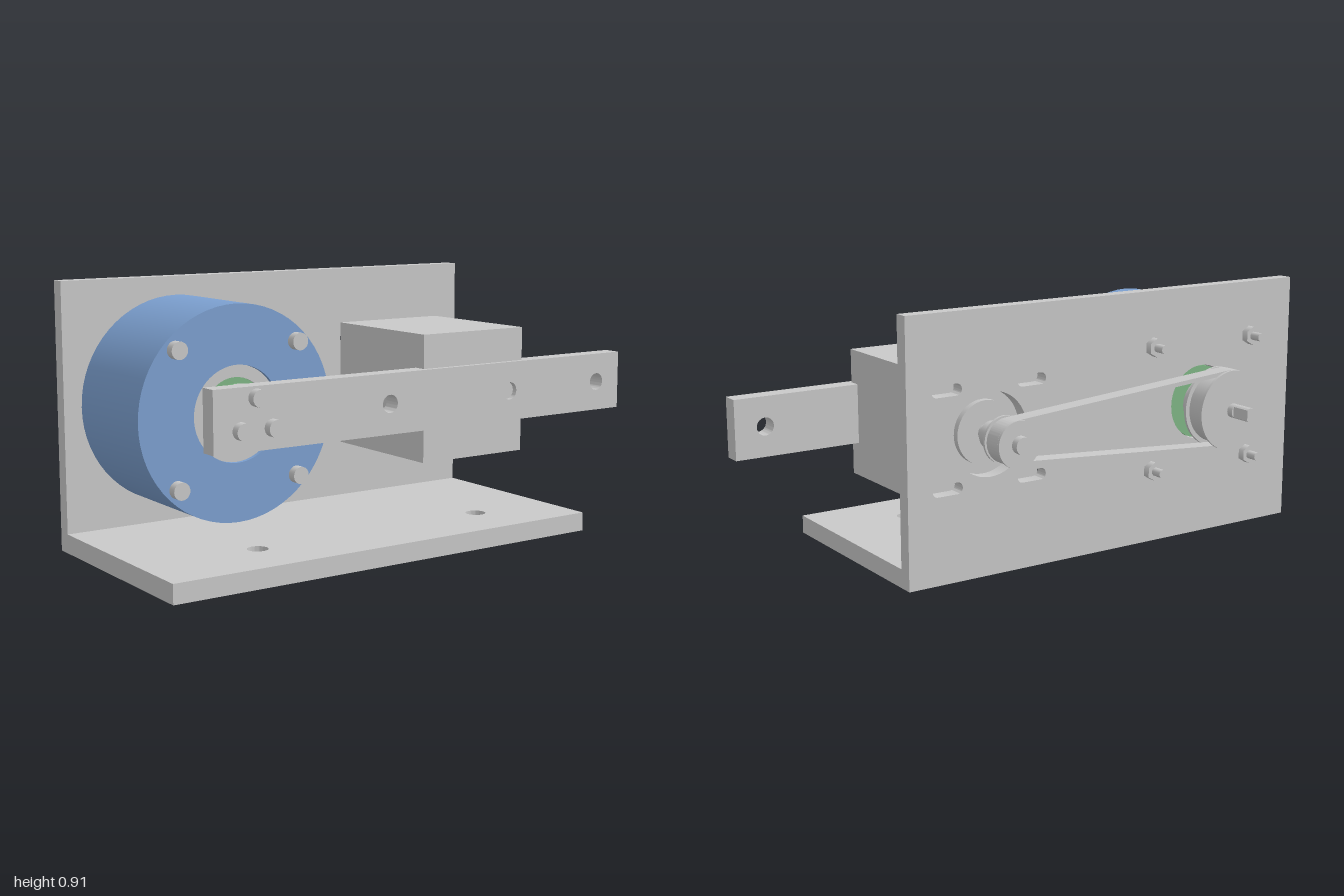
import * as THREE from 'three';
import { toCreasedNormals } from 'three/addons/utils/BufferGeometryUtils.js';

const steel = new THREE.MeshStandardMaterial({ color: 0xc8c8c8 });
steel.name = 'light grey metal';
const blue = new THREE.MeshStandardMaterial({ color: 0x7ca0d0 });
blue.name = 'blue housing';
const green = new THREE.MeshStandardMaterial({ color: 0x7fb585 });
green.name = 'green bearing seal';

const AXIS = 0.487;            // height of both shafts
const SPINDLE = -0.58, MOTOR = 0.32;

function add(parent, name, geometry, material = steel) {
  const mesh = new THREE.Mesh(geometry, material);
  mesh.name = name;
  parent.add(mesh);
  return mesh;
}

// Box given by its limits
function box(x0, x1, y0, y1, z0, z1) {
  return new THREE.BoxGeometry(x1 - x0, y1 - y0, z1 - z0)
    .translate((x0 + x1) / 2, (y0 + y1) / 2, (z0 + z1) / 2);
}

// Cylinder along z
function rod(x, y, r, z0, z1, sides = 40) {
  return new THREE.CylinderGeometry(r, r, z1 - z0, sides)
    .rotateX(Math.PI / 2).translate(x, y, (z0 + z1) / 2);
}

// Flat shape extruded from z0 to z1, smooth on curves and sharp on edges
function slab(shape, z0, z1) {
  const g = new THREE.ExtrudeGeometry(shape, { depth: z1 - z0, bevelEnabled: false, curveSegments: 32 });
  return toCreasedNormals(g.translate(0, 0, z0), 0.6);
}

function rect(x0, x1, y0, y1) {
  return new THREE.Shape().moveTo(x0, y0).lineTo(x1, y0).lineTo(x1, y1).lineTo(x0, y1).closePath();
}

function circle(x, y, r, Type = THREE.Path) {
  return new Type().absarc(x, y, r, 0, Math.PI * 2, false);
}

function ring(x, y, outer, inner) {
  const s = circle(x, y, outer, THREE.Shape);
  s.holes.push(circle(x, y, inner));
  return s;
}

// Horizontal slot with round ends
function slot(x, y, half, r) {
  return new THREE.Path()
    .absarc(x + half, y, r, -Math.PI / 2, Math.PI / 2, false)
    .absarc(x - half, y, r, Math.PI / 2, Math.PI * 1.5, false)
    .closePath();
}

// Outline of a belt around the two pulleys
function beltLoop(r1, r2, Type) {
  const a = Math.acos((r1 - r2) / (MOTOR - SPINDLE));
  return new Type()
    .absarc(SPINDLE, AXIS, r1, a, Math.PI * 2 - a, false)
    .absarc(MOTOR, AXIS, r2, -a, a, false)
    .closePath();
}

function pulley(name, x, flange, core, hub) {
  const g = new THREE.Group();
  g.name = name;
  add(g, 'pulleyHub', rod(x, AXIS, hub, -0.34, -0.264));
  add(g, 'pulleyCore', rod(x, AXIS, core, -0.424, -0.348));
  add(g, 'innerFlange', rod(x, AXIS, flange, -0.349, -0.339, 56));
  add(g, 'outerFlange', rod(x, AXIS, flange, -0.433, -0.423, 56));
  return g;
}

export function createModel() {
  const model = new THREE.Group();
  model.name = 'beltDriveRig';
  const corners = [[-1, -1], [1, -1], [-1, 1], [1, 1]];

  // Upright plate with shaft openings, bolt holes and motor slots
  const plate = rect(-1, 0.635, 0, 0.908);
  plate.holes.push(circle(SPINDLE, AXIS, 0.135), circle(MOTOR, AXIS, 0.145));
  for (const [i, j] of corners) {
    plate.holes.push(slot(MOTOR + i * 0.165, AXIS + j * 0.165, 0.037, 0.02));
    plate.holes.push(circle(SPINDLE + i * 0.223, AXIS + j * 0.223, 0.016));
  }
  add(model, 'backPlate', slab(plate, -0.258, -0.207));

  // Base plate, drawn flat and laid down
  const base = rect(-1, 0.635, -0.53, 0.207);
  base.holes.push(circle(SPINDLE, -0.317, 0.035), circle(MOTOR, -0.317, 0.035));
  add(model, 'basePlate', slab(base, 0, 0.065).rotateX(-Math.PI / 2));

  // Bearing housing
  add(model, 'bearingHousing', slab(ring(SPINDLE, AXIS, 0.357, 0.16), -0.207, 0.2), blue);
  add(model, 'bearingRing', slab(ring(SPINDLE, AXIS, 0.16, 0.118), -0.207, 0.185));
  add(model, 'bearingSeal', rod(SPINDLE, AXIS, 0.118, -0.206, 0.18), green);
  add(model, 'rearSeal', rod(SPINDLE, AXIS, 0.132, -0.25, -0.206), green);
  add(model, 'frontSpacer', rod(SPINDLE, AXIS, 0.096, 0.18, 0.207), green);
  add(model, 'frontHub', rod(SPINDLE, AXIS, 0.1, 0.207, 0.254));

  // Housing bolts with nuts behind the plate
  for (const [i, j] of corners) {
    const x = SPINDLE + i * 0.223, y = AXIS + j * 0.223;
    const bolt = new THREE.Group();
    bolt.name = 'housingBolt';
    add(bolt, 'boltHead', rod(x, y, 0.029, 0.2, 0.232, 24));
    add(bolt, 'boltShank', rod(x, y, 0.015, -0.327, -0.2, 20));
    const nut = new THREE.CylinderGeometry(0.034, 0.034, 0.026, 6)
      .rotateX(Math.PI / 2).translate(x, y, -0.271);
    add(bolt, 'nut', nut);
    model.add(bolt);
  }

  // Motor block, pilot boss and shaft
  add(model, 'motor', box(0.1, 0.54, 0.265, 0.71, -0.207, 0.298));
  add(model, 'motorBoss', rod(MOTOR, AXIS, 0.11, -0.23, -0.2));
  add(model, 'motorShaft', rod(MOTOR, AXIS, 0.03, -0.46, -0.22, 28));

  // Swing arm with holes, fixed by three screws
  const arm = rect(-0.737, 1, 0.383, 0.592);
  for (const x of [-0.055, 0.47, 0.89]) arm.holes.push(circle(x, 0.488, 0.031));
  add(model, 'arm', slab(arm, 0.253, 0.317));
  for (let i = 0; i < 3; i++) {
    const a = Math.PI / 2 + i * Math.PI * 2 / 3;
    add(model, 'armScrew', rod(SPINDLE + 0.068 * Math.cos(a), AXIS + 0.068 * Math.sin(a), 0.029, 0.317, 0.348, 24));
  }

  // Pulleys and belt
  model.add(pulley('spindlePulley', SPINDLE, 0.143, 0.127, 0.085));
  model.add(pulley('motorPulley', MOTOR, 0.08, 0.06, 0.048));
  const belt = beltLoop(0.142, 0.076, THREE.Shape);
  belt.holes.push(beltLoop(0.127, 0.061, THREE.Path));
  add(model, 'belt', slab(belt, -0.417, -0.355));

  // Spindle end with a flat
  add(model, 'spindleShaft', rod(SPINDLE, AXIS, 0.025, -0.457, -0.24, 28));
  const dShape = new THREE.Shape().absarc(SPINDLE, AXIS, 0.025, 0.85, Math.PI * 2 - 0.85, false).closePath();
  add(model, 'spindleFlatEnd', slab(dShape, -0.528, -0.457));

  return model;
}
